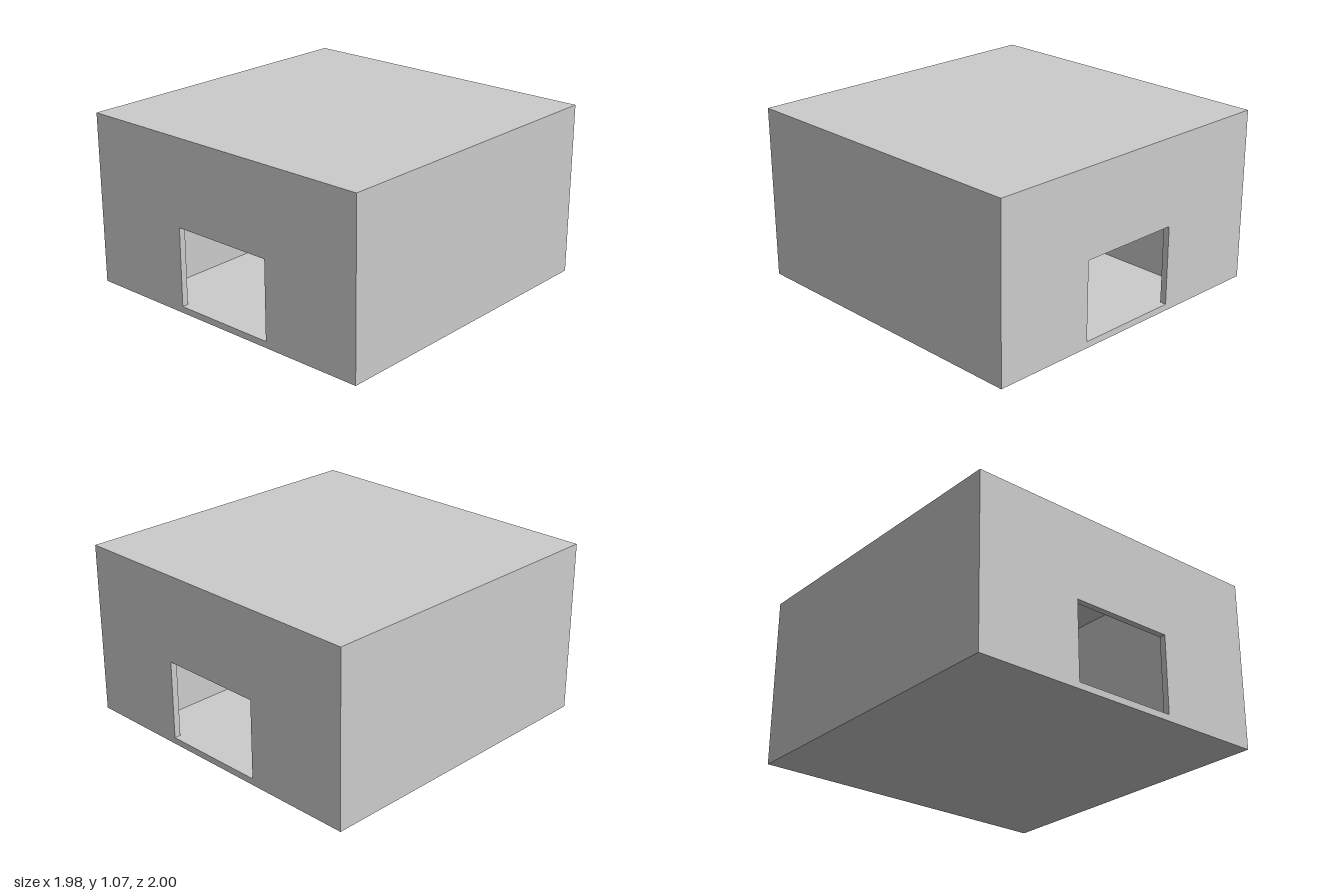
import * as THREE from 'three';

export function createModel() {
  const model = new THREE.Group();
  const material = new THREE.MeshStandardMaterial({ color: 0xcccccc, flatShading: true });

  const W = 1.98, D = 2, H = 1.07; // overall size
  const T = 0.04;                  // slab and wall thickness
  const wallH = H - 2 * T;
  const midY = H / 2;

  function add(name, geometry, x, y, z) {
    const mesh = new THREE.Mesh(geometry, material);
    mesh.name = name;
    mesh.position.set(x, y, z);
    model.add(mesh);
    return mesh;
  }
  const box = (name, w, h, d, x, y, z) => add(name, new THREE.BoxGeometry(w, h, d), x, y, z);

  // Floor and flat roof
  box('floor', W, T, D, 0, T / 2, 0);
  box('roof', W, T, D, 0, H - T / 2, 0);

  // Closed end walls and the partitions lining the passage
  for (const [side, s] of [['front', 1], ['back', -1]]) {
    box(side + 'Wall', W, wallH, T, 0, midY, s * (D / 2 - T / 2));
    box(side + 'Partition', W - 2 * T, wallH, T, 0, midY, s * (0.6 + T / 2));
  }

  // Side walls, each notched by a doorway that starts at floor level
  const half = D / 2 - T;
  const z0 = -0.32, z1 = 0.35, doorTop = 0.53;
  const profile = new THREE.Shape([
    [-half, T], [-z1, T], [-z1, doorTop], [-z0, doorTop],
    [-z0, T], [half, T], [half, H - T], [-half, H - T],
  ].map(([u, v]) => new THREE.Vector2(u, v)));
  const sideWall = new THREE.ExtrudeGeometry(profile, { depth: T, bevelEnabled: false });
  sideWall.rotateY(Math.PI / 2); // profile u runs along -z, depth along +x
  add('leftWall', sideWall, W / 2 - T, 0, 0);
  add('rightWall', sideWall, -W / 2, 0, 0);

  return model;
}
